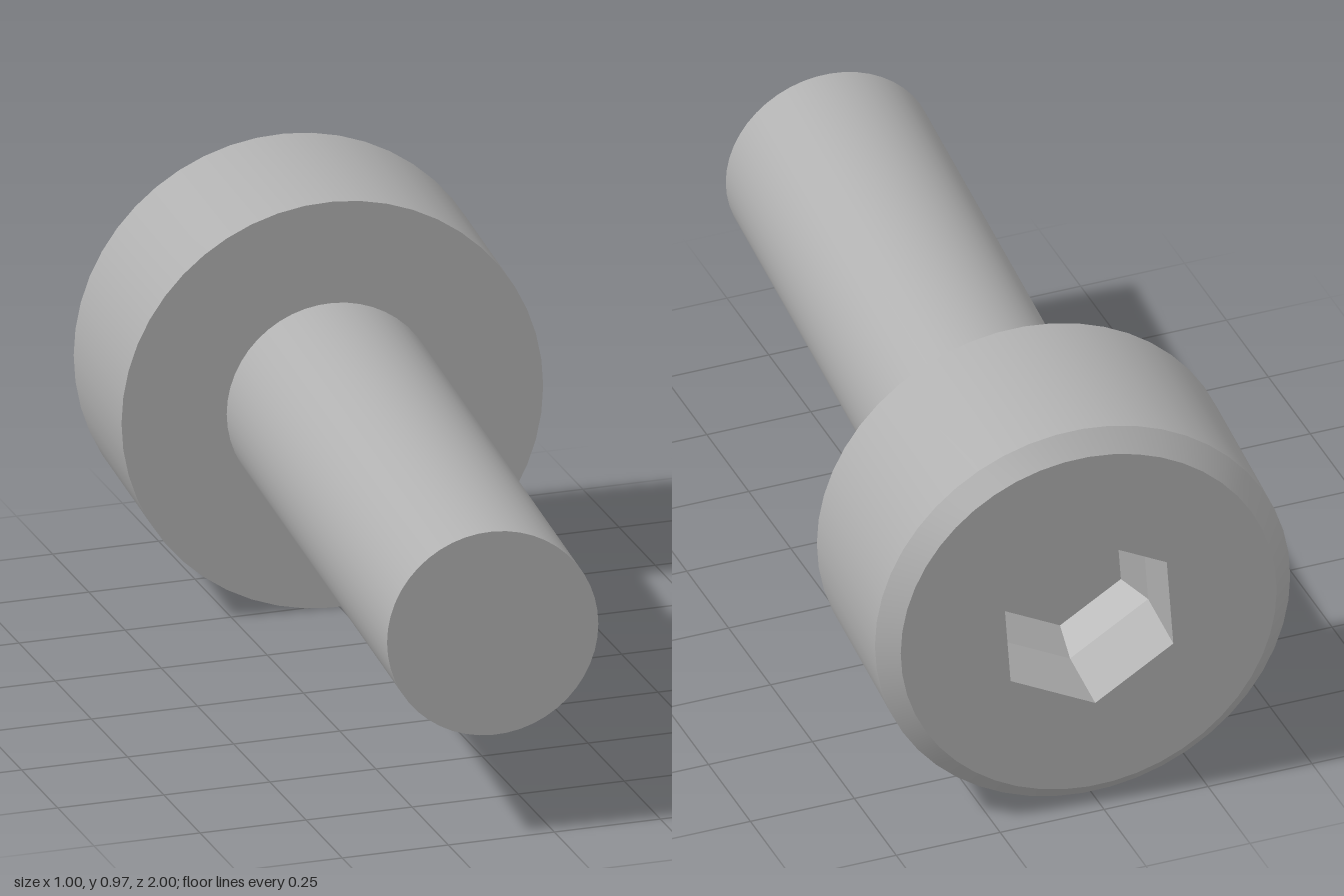
import * as THREE from 'three';
import { toCreasedNormals } from 'three/addons/utils/BufferGeometryUtils.js';

const SIDES = 48;
const HEAD_R = 0.485, FACE_R = 0.439, SHAFT_R = 0.243, SOCKET_R = 0.22;
const HEAD_L = 0.484, SHAFT_L = 1.468;
const TURN = THREE.MathUtils.degToRad(4.75);
const SOCKET_TURN = THREE.MathUtils.degToRad(4);

// Revolve [radius, height] points about z, keeping hard edges sharp
function revolve(points, sides, crease) {
  const geometry = new THREE.LatheGeometry(points.map(([r, h]) => new THREE.Vector2(r, h)), sides);
  geometry.rotateX(Math.PI / 2);
  return toCreasedNormals(geometry, crease);
}

function polygon(radius, sides, start) {
  return Array.from({ length: sides }, (_, i) => {
    const a = start + (i / sides) * Math.PI * 2;
    return new THREE.Vector2(radius * Math.cos(a), radius * Math.sin(a));
  });
}

export function createModel() {
  const steel = new THREE.MeshStandardMaterial({ color: 0xb0b0b0 });
  steel.name = 'steel grey';

  const bolt = new THREE.Group();
  bolt.name = 'socketHeadBolt';
  const add = (name, geometry) => {
    const mesh = new THREE.Mesh(geometry, steel);
    mesh.name = name;
    bolt.add(mesh);
  };

  // Plain shaft with a flat end
  add('shaft', revolve([[0, -SHAFT_L], [SHAFT_R, -SHAFT_L], [SHAFT_R, 0]], SIDES, 0.5));

  // Head: flat underside, round wall and bevelled rim
  add('head', revolve([
    [SHAFT_R, 0], [HEAD_R, 0], [HEAD_R, HEAD_L - 0.046], [FACE_R, HEAD_L],
  ], SIDES, 0.5));

  // Head face, pierced by the hexagonal socket
  const face = new THREE.Shape(polygon(FACE_R, SIDES, 0));
  face.holes.push(new THREE.Path(polygon(SOCKET_R, 6, Math.PI / 2 + SOCKET_TURN)));
  const faceGeometry = new THREE.ShapeGeometry(face);
  faceGeometry.translate(0, 0, HEAD_L);
  add('headFace', faceGeometry);

  // Hexagonal socket: straight walls, tapered bottom and flat floor
  const socket = revolve([
    [SOCKET_R, HEAD_L], [SOCKET_R, HEAD_L - 0.19],
    [SOCKET_R * 0.78, HEAD_L - 0.255], [0, HEAD_L - 0.255],
  ], 6, 0.2);
  socket.rotateZ(SOCKET_TURN);
  add('hexSocket', socket);

  // Lay the bolt down with its head towards the back, turned slightly
  bolt.rotation.y = Math.PI - TURN;
  bolt.position.set(-0.017, HEAD_R, -0.483);

  const model = new THREE.Group();
  model.name = 'bolt';
  model.add(bolt);
  return model;
}
